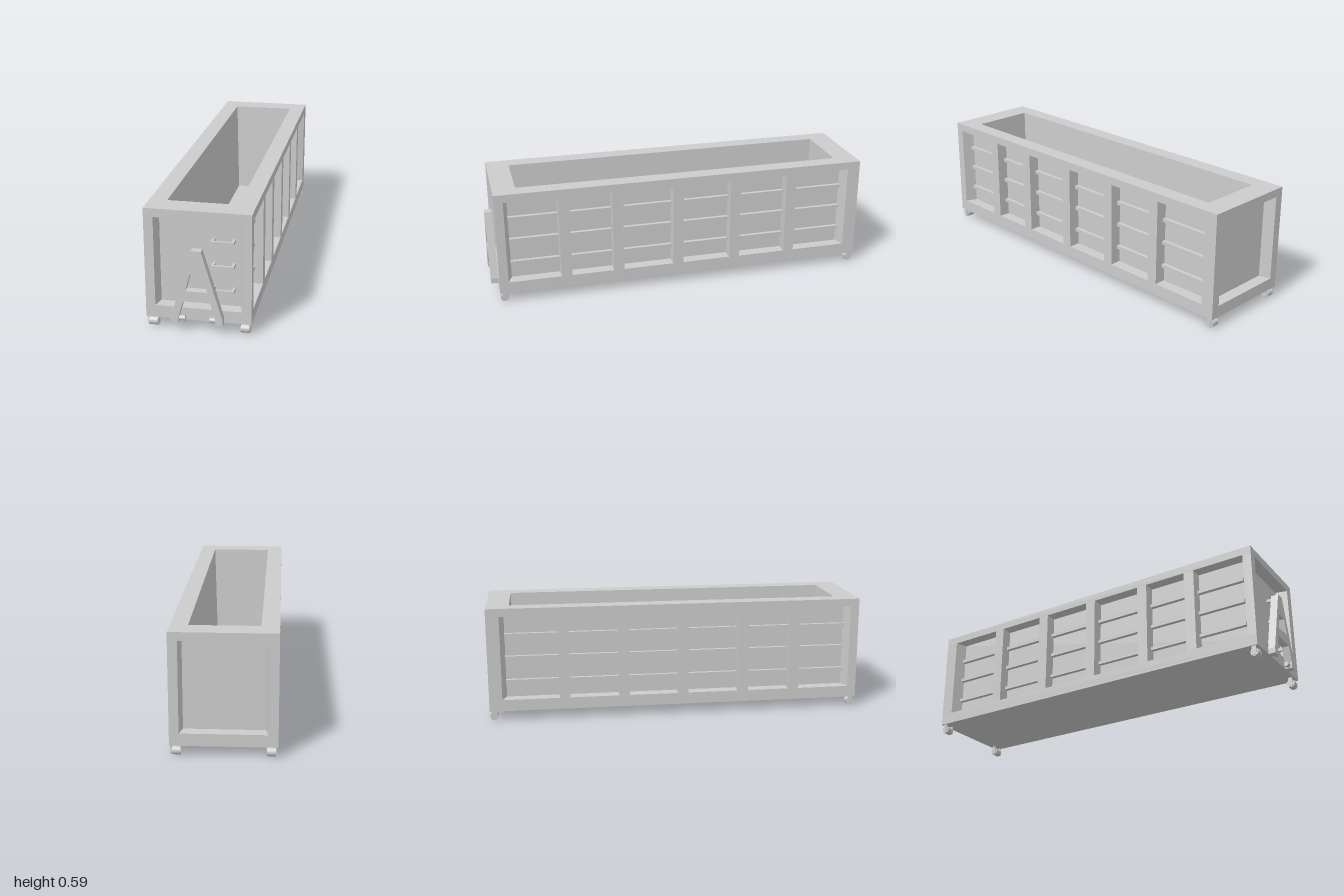
import * as THREE from 'three';

const mat = new THREE.MeshStandardMaterial({ color: 0xcccccc });
const W = 0.2485, L = 0.972;            // half width, half length
const Y0 = 0.05, Y1 = 0.11, Y2 = 0.547, Y3 = 0.588;
const DEPTH = 0.06;                     // depth of the wall recesses

function add(parent, name, geo, x = 0, y = 0, z = 0) {
  const m = new THREE.Mesh(geo, mat);
  m.name = name;
  m.position.set(x, y, z);
  parent.add(m);
  return m;
}
const box = (w, h, d) => new THREE.BoxGeometry(w, h, d);
const shapeOf = pts => new THREE.Shape(pts.map(p => new THREE.Vector2(...p)));
const rect = (w, l) => [[-w, -l], [w, -l], [w, l], [-w, l]];

// Ring seen in plan ([x, z] points), extruded upward, open over the hold
const HOLD_W = 0.165, HOLD_L = 0.855;
function planRing(pts, height) {
  const s = shapeOf(pts.map(([x, z]) => [x, -z]));
  s.holes.push(shapeOf(rect(HOLD_W, HOLD_L)));
  return new THREE.ExtrudeGeometry(s, { depth: height, bevelEnabled: false }).rotateX(-Math.PI / 2);
}

// Tapered inside of the hold: a box without lid, turned inside out
function holdLiner(bottom, top) {
  let g = box(2 * HOLD_W, top - bottom, 2 * HOLD_L).translate(0, (top + bottom) / 2, 0);
  const p = g.attributes.position;
  for (let i = 0; i < p.count; i++) {
    if (p.getY(i) < (top + bottom) / 2) {
      p.setX(i, p.getX(i) - Math.sign(p.getX(i)) * 0.014);
      p.setZ(i, p.getZ(i) - Math.sign(p.getZ(i)) * 0.016);
    }
  }
  const idx = Array.from(g.index.array);
  idx.splice(12, 6);
  g.setIndex(idx.reverse());
  g = g.toNonIndexed();
  g.computeVertexNormals();
  return g;
}

// Caster with two fork plates
function caster(x, z) {
  const g = new THREE.Group();
  g.name = 'caster';
  add(g, 'wheel', new THREE.CylinderGeometry(0.021, 0.021, 0.04, 24).rotateZ(Math.PI / 2), 0, 0.021, 0);
  add(g, 'axle', new THREE.CylinderGeometry(0.006, 0.006, 0.05, 12).rotateZ(Math.PI / 2), 0, 0.021, 0);
  for (const s of [-1, 1]) add(g, 'forkPlate', box(0.004, 0.048, 0.022), s * 0.0235, 0.028, 0);
  g.position.set(x, 0, z);
  return g;
}

// U-shaped step on the front wall
function rung(y) {
  const g = new THREE.Group();
  g.name = 'ladderRung';
  add(g, 'tread', box(0.106, 0.015, 0.012), 0.111, y, 0.955);
  for (const x of [0.064, 0.158]) add(g, 'rungArm', box(0.012, 0.015, 0.045), x, y, 0.932);
  return g;
}

export function createModel() {
  const root = new THREE.Group();
  root.name = 'container';
  const body = new THREE.Group();
  body.name = 'body';
  root.add(body);

  // Floor, lower frame, recessed walls, top rim
  add(body, 'floor', box(2 * W, 0.015, 2 * L), 0, Y0 + 0.0075, 0);
  add(body, 'lowerFrame', planRing(rect(W, L), Y1 - Y0 - 0.015), 0, Y0 + 0.015, 0);
  const a = 0.2035, b = 0.19;           // outer and inner half widths of the end recesses
  const sideRecess = [[-0.905, 0], [-0.883, DEPTH], [0.905, DEPTH], [0.927, 0]];
  const walls = [
    [-W, -L], [-a, -L], [-b, -L + DEPTH], [b, -L + DEPTH], [a, -L], [W, -L],
    ...sideRecess.map(([z, d]) => [W - d, z]),
    [W, L], [a, L], [b, L - DEPTH], [-b, L - DEPTH], [-a, L], [-W, L],
    ...sideRecess.slice().reverse().map(([z, d]) => [d - W, z]),
  ];
  add(body, 'walls', planRing(walls, Y2 - Y1), 0, Y1, 0);
  add(body, 'topRim', planRing(rect(W, L), Y3 - Y2), 0, Y2, 0);
  add(body, 'holdLiner', holdLiner(0.07, Y3));

  // Side posts and horizontal ribs
  for (const s of [-1, 1]) {
    for (const z of [0.628, 0.353, 0.034, -0.276, -0.585])
      add(body, 'sidePost', box(DEPTH, Y2 - Y1, 0.055), s * (W - DEPTH / 2), (Y1 + Y2) / 2, z);
    for (const y of [0.44, 0.321, 0.196])
      add(body, 'sideRib', box(0.02, 0.018, 1.79), s * (W - DEPTH + 0.01), y, 0.011);
  }

  // A-shaped lifting frame on the front
  const frame = shapeOf([
    [-0.121, 0.05], [-0.085, 0.05], [-0.085, 0.08], [-0.063, 0.16], [0.063, 0.16], [0.085, 0.08],
    [0.085, 0.05], [0.121, 0.05], [0.121, 0.077], [0.023, 0.41], [-0.023, 0.41], [-0.121, 0.077],
  ]);
  frame.holes.push(shapeOf([[-0.051, 0.212], [-0.03, 0.295], [0.03, 0.295], [0.051, 0.212]]));
  add(body, 'liftFrame', new THREE.ExtrudeGeometry(frame, { depth: 0.038, bevelEnabled: false }), 0, 0, 0.97);
  for (const s of [-1, 1]) {
    add(body, 'guideRoller', new THREE.CylinderGeometry(0.012, 0.012, 0.028, 20).rotateZ(Math.PI / 2),
      s * 0.072, 0.066, 0.988);
  }

  // Ladder rungs and casters
  for (const y of [0.437, 0.318, 0.197]) body.add(rung(y));
  for (const x of [-0.217, 0.217]) for (const z of [-0.95, 0.95]) body.add(caster(x, z));

  body.rotation.y = 0.067;
  body.position.z = -0.0135;
  return root;
}
